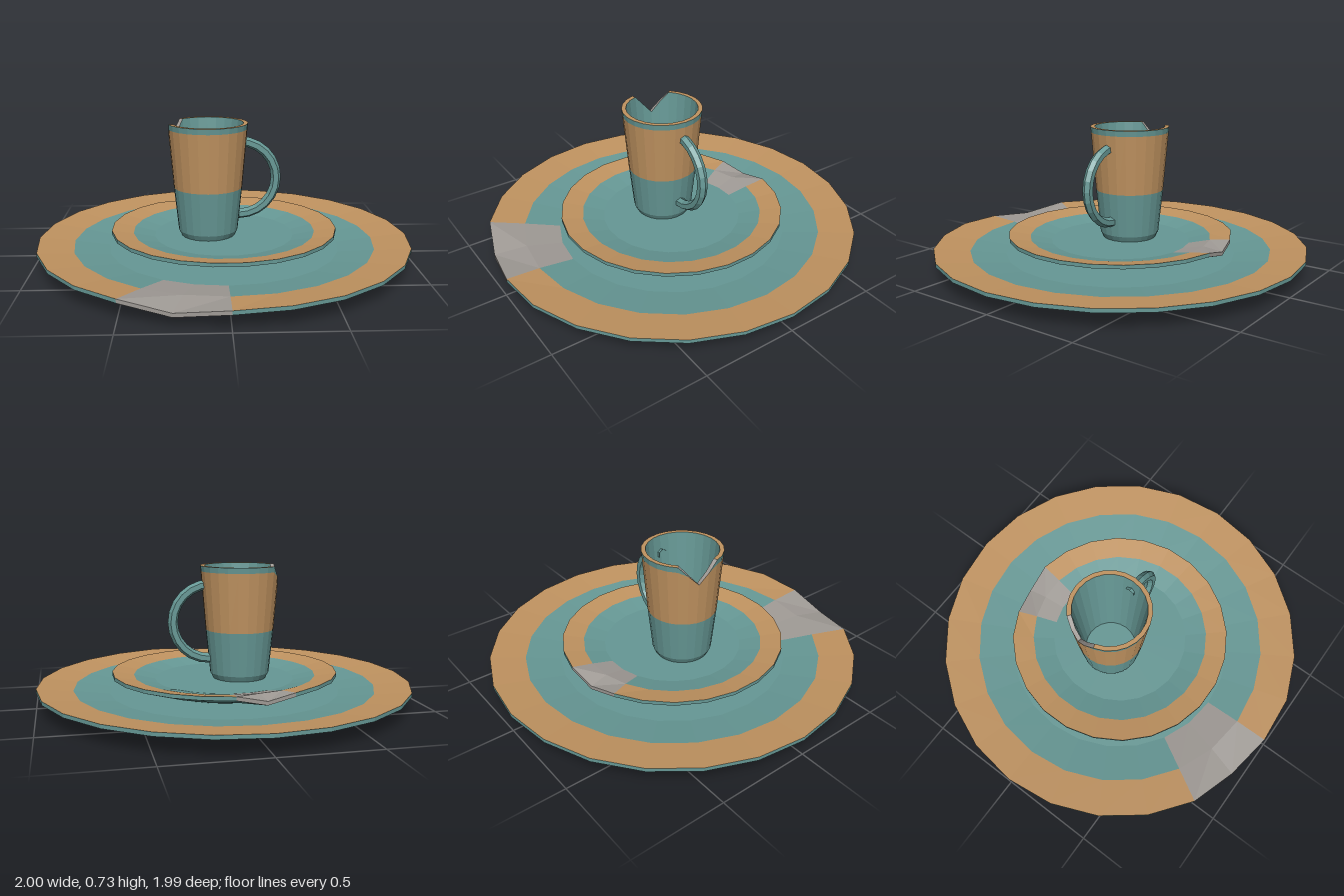
import * as THREE from 'three';

const SIDES = 24;
const materials = {
  glaze: new THREE.MeshStandardMaterial({ color: 0x669895 }),
  clay: new THREE.MeshStandardMaterial({ color: 0xc09360 }),
  brokenEdge: new THREE.MeshStandardMaterial({ color: 0xa09b96 }),
};
for (const key in materials) materials[key].name = key;

// Faceted turned body: profile runs from the bottom centre, outward, up and back to the top centre.
// bend(r, y, side) deforms a ring point; paint(band, side) names the colour of a face.
function turnedBody(name, profile, bend, paint) {
  const points = profile.map(([r, y]) => Array.from({ length: SIDES }, (_, i) => {
    const [br, by] = bend(r, y, i);
    const a = (i / SIDES) * Math.PI * 2;
    return new THREE.Vector3(br * Math.sin(a), by, br * Math.cos(a));
  }));
  const faces = {};
  const area = new THREE.Triangle();
  const add = (color, ...tri) => {
    if (area.set(...tri).getArea() < 1e-7) return;
    (faces[color] ??= []).push(...tri);
  };
  for (let k = 0; k < profile.length - 1; k++) {
    for (let i = 0; i < SIDES; i++) {
      const j = (i + 1) % SIDES;
      const color = paint(k, i);
      const a = points[k][i], b = points[k][j], c = points[k + 1][j], d = points[k + 1][i];
      add(color, a, b, c);
      add(color, a, c, d);
    }
  }
  const group = new THREE.Group();
  group.name = name;
  for (const color in faces) {
    const geometry = new THREE.BufferGeometry().setFromPoints(faces[color]);
    geometry.computeVertexNormals();
    const mesh = new THREE.Mesh(geometry, materials[color]);
    mesh.name = `${name} ${color}`;
    group.add(mesh);
  }
  return group;
}

// Plate with a recessed foot, a painted rim and a worn chip beside the front
function plate(name) {
  const profile = [
    [0, 0.03], [0.43, 0.03], [0.43, 0], [0.55, 0], [0.8, 0.045],
    [1, 0.085], [1, 0.105], [0.81, 0.085], [0.62, 0.06], [0, 0.06],
  ];
  const bend = (r, y, i) => {
    if (r < 0.95) return [r, y];
    if (i === 23) return [r * 0.98, y - 0.035];
    return i === 0 ? [r * 0.987, y - 0.01] : [r, y];
  };
  const paint = (band, i) => {
    if (i >= 22 && band >= 5 && band <= 7) return 'brokenEdge';
    return band === 6 ? 'clay' : 'glaze';
  };
  return turnedBody(name, profile, bend, paint);
}

// Tapered mug with a V-shaped notch broken out of the lip
function mugBody() {
  const profile = [
    [0, 0.12], [0.145, 0.12], [0.16, 0.15], [0.184, 0.385], [0.21, 0.7],
    [0.213, 0.73], [0.19, 0.73], [0.14, 0.16], [0, 0.16],
  ];
  const notch = (i) => Math.min(0.73, 0.62 + 0.055 * Math.abs(i - 17));
  const bend = (r, y, i) => {
    const drop = Math.max(0, y - notch(i));
    return [r - drop * 0.08, y - drop];
  };
  const paint = (band, i) => {
    if (band === 5) return i >= 15 && i < 19 ? 'brokenEdge' : 'clay';
    return band === 3 ? 'clay' : 'glaze';
  };
  return turnedBody('mugBody', profile, bend, paint);
}

// Half-ring handle on the mug's side
function mugHandle() {
  const geometry = new THREE.TorusGeometry(0.2, 0.027, 6, 12, Math.PI).toNonIndexed();
  geometry.rotateZ(-Math.PI / 2);
  geometry.computeVertexNormals();
  const mesh = new THREE.Mesh(geometry, materials.glaze);
  mesh.name = 'mugHandle';
  mesh.position.set(0.165, 0.43, 0);
  return mesh;
}

export function createModel() {
  const model = new THREE.Group();
  model.name = 'chippedTableware';

  const dinnerPlate = plate('dinnerPlate');

  const saucer = plate('saucer');
  saucer.scale.set(0.605, 1, 0.605);
  saucer.rotation.y = THREE.MathUtils.degToRad(203);
  saucer.position.y = 0.06;

  const mug = new THREE.Group();
  mug.name = 'mug';
  mug.position.x = -0.085;
  mug.add(mugBody(), mugHandle());

  model.add(dinnerPlate, saucer, mug);
  return model;
}
